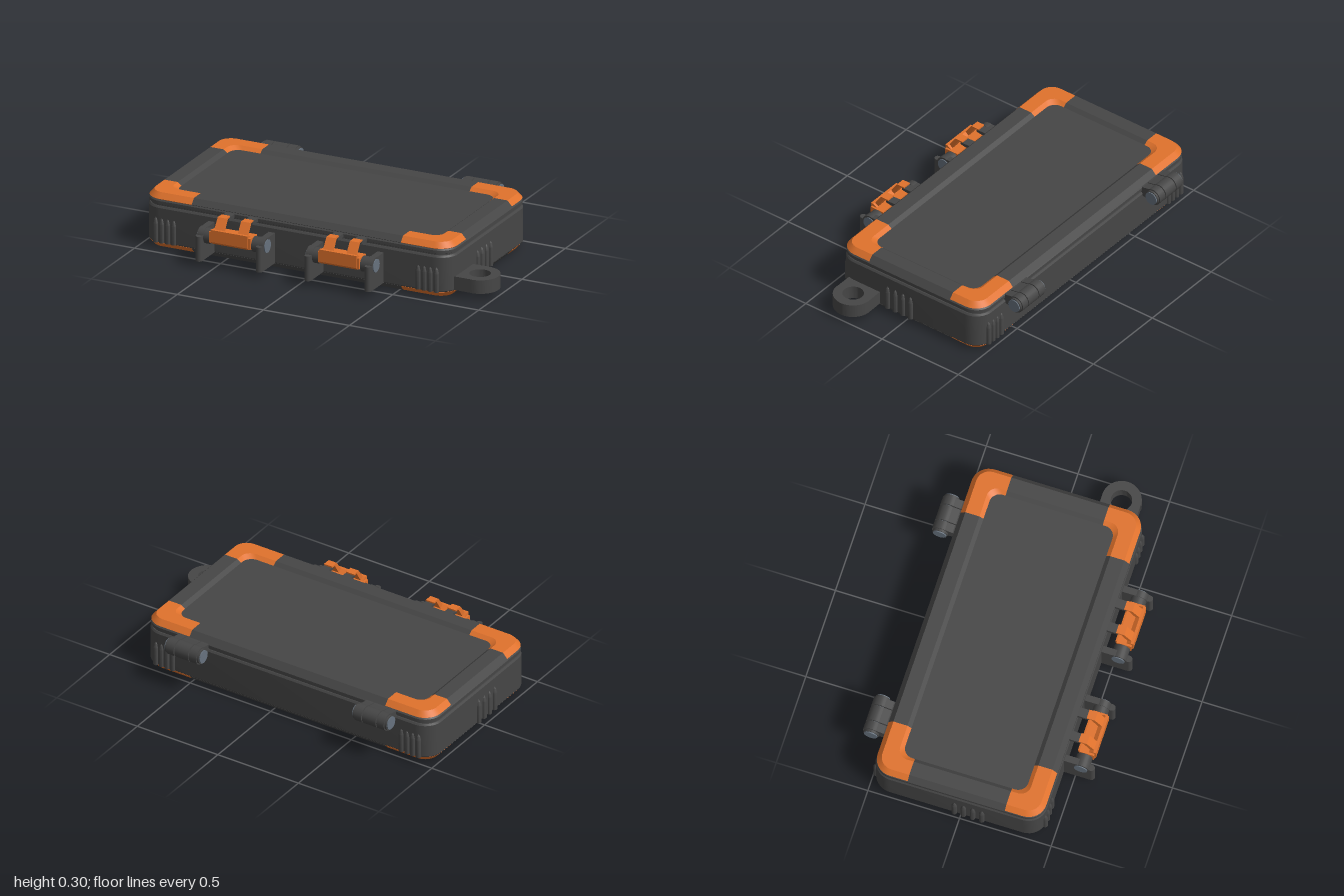
import * as THREE from 'three';
import { toCreasedNormals } from 'three/addons/utils/BufferGeometryUtils.js';

const CX = -0.0925, CZ = -0.0235, HX = 0.893, HZ = 0.464; // case centre and half sizes
const CUTX = 0.6075, CUTZ = 0.265;                        // where corner guards end

const mat = (name, color) => {
  const m = new THREE.MeshStandardMaterial({ color });
  m.name = name;
  return m;
};

// Points of one rounded corner (quadrant 0..3) at a given inset
function corner(q, inset) {
  const sx = q === 0 || q === 3 ? 1 : -1, sz = q < 2 ? 1 : -1;
  const r = Math.max(0.1 - inset, 0.055), x = HX - inset - r, z = HZ - inset - r;
  const pts = [];
  for (let i = 0; i <= 8; i++) {
    const t = (q + i / 8) * Math.PI / 2;
    pts.push([sx * x + r * Math.cos(t), sz * z + r * Math.sin(t)]);
  }
  return pts;
}

const fullPath = inset => {
  if (inset === null) return Array.from({ length: 37 }, () => [0, 0]);
  const p = [0, 1, 2, 3].flatMap(q => corner(q, inset));
  return [...p, p[0]];
};

function guardPath(q, inset) {
  const sx = q === 0 || q === 3 ? 1 : -1, sz = q < 2 ? 1 : -1;
  const onX = [sx * (HX - inset), sz * CUTZ], onZ = [sx * CUTX, sz * (HZ - inset)];
  return q % 2 === 0 ? [onX, ...corner(q, inset), onZ] : [onZ, ...corner(q, inset), onX];
}

// Straight rail following quadrant q
function railPath(q, inset) {
  const x = HX - inset, z = HZ - inset;
  return [
    [[CUTX, z], [-CUTX, z]], [[-x, CUTZ], [-x, -CUTZ]],
    [[-CUTX, -z], [CUTX, -z]], [[x, -CUTZ], [x, CUTZ]],
  ][q];
}

// Skin between profile stations [inset, y] carried along a path
function sweep(profile, path) {
  const rings = profile.map(([d, y]) => path(d).map(([x, z]) => new THREE.Vector3(x + CX, y, z + CZ)));
  const pos = [], e1 = new THREE.Vector3(), e2 = new THREE.Vector3();
  const tri = (a, b, c) => {
    if (e1.subVectors(b, a).cross(e2.subVectors(c, a)).length() < 1e-9) return;
    for (const v of [a, b, c]) pos.push(v.x, v.y, v.z);
  };
  for (let i = 0; i < rings.length - 1; i++) {
    for (let j = 0; j < rings[i].length - 1; j++) {
      const a = rings[i][j], b = rings[i + 1][j], c = rings[i + 1][j + 1], d = rings[i][j + 1];
      tri(a, b, c);
      tri(a, c, d);
    }
  }
  const g = new THREE.BufferGeometry();
  g.setAttribute('position', new THREE.Float32BufferAttribute(pos, 3));
  return toCreasedNormals(g, 0.4);
}

// Side profile in [z, y], extruded across x and centred on x
function extrudeX(points, width, x) {
  const shape = new THREE.Shape(points.map(p => new THREE.Vector2(...p)));
  return new THREE.ExtrudeGeometry(shape, { depth: width, bevelEnabled: false })
    .rotateY(-Math.PI / 2).translate(x + width / 2, 0, 0);
}

const barrel = (r, width, x, y, z) =>
  new THREE.CylinderGeometry(r, r, width, 24).rotateZ(Math.PI / 2).translate(x, y, z);

const box = (x0, x1, y0, y1, z0, z1) =>
  new THREE.BoxGeometry(x1 - x0, y1 - y0, z1 - z0).translate((x0 + x1) / 2, (y0 + y1) / 2, (z0 + z1) / 2);

export function createModel() {
  const root = new THREE.Group();
  root.name = 'hardCase';
  const dark = mat('charcoal', 0x464646), orange = mat('orange', 0xe0722c), steel = mat('steel', 0x67727e);
  const group = name => {
    const g = new THREE.Group();
    g.name = name;
    root.add(g);
    return g;
  };
  const add = (parent, name, geometry, material) => {
    const m = new THREE.Mesh(geometry, material);
    m.name = name;
    parent.add(m);
  };

  // Shell: floor panel, walls, seam groove, lid and recessed lid panel
  add(root, 'body', sweep([[null, 0.012], [0.12, 0.012], [0.12, 0.03], [0.004, 0.03], [0, 0.036],
    [0, 0.222], [0.007, 0.232], [0.012, 0.232], [0.012, 0.24], [null, 0.24]], fullPath), dark);
  add(root, 'lid', sweep([[null, 0.238], [0.012, 0.238], [0.003, 0.243], [0.003, 0.26], [0.012, 0.27],
    [0.12, 0.27], [0.12, 0.283], [null, 0.283]], fullPath), dark);

  // Rim on both faces: orange corner guards joined by dark rails
  const top = [[0.012, 0.265], [0.004, 0.271], [0.03, 0.3], [0.107, 0.3], [0.13, 0.282]];
  const rims = [['top', top], ['bottom', top.map(([d, y]) => [d, 0.3 - y]).reverse()]];
  for (const [side, profile] of rims) {
    const guards = group(side + 'CornerGuards'), rails = group(side + 'Rails');
    for (let q = 0; q < 4; q++) {
      add(guards, 'cornerGuard', sweep(profile, d => guardPath(q, d)), orange);
      add(rails, 'rail', sweep(profile, d => railPath(q, d)), dark);
    }
  }

  // Pointed grip ribs on all four walls
  const ribs = group('gripRibs');
  const ribProfile = [[0, 0.032], [0.015, 0.032], [0.015, 0.135], [0.009, 0.158], [0, 0.17]];
  const rib = (x, z) => add(ribs, 'gripRib', toCreasedNormals(
    new THREE.LatheGeometry(ribProfile.map(p => new THREE.Vector2(...p)), 14), 0.5).translate(x, 0, z), dark);
  for (const s of [-1, 1]) {
    for (let i = 0; i < 4; i++) {
      for (const t of [-1, 1]) rib(CX + s * (0.71 + i * 0.035), CZ + t * (HZ - 0.003));
      rib(CX + s * (HX - 0.001), 0.117 - i * 0.05);
    }
  }

  // Lanyard tab with a hole
  const tab = new THREE.Shape();
  tab.moveTo(0.78, -0.103);
  tab.lineTo(0.895, -0.103);
  tab.absarc(0.895, 0, 0.105, -Math.PI / 2, Math.PI / 2, false);
  tab.lineTo(0.78, 0.103);
  tab.holes.push(new THREE.Path().absarc(0.893, 0, 0.056, 0, Math.PI * 2, true));
  add(root, 'lanyardTab', toCreasedNormals(new THREE.ExtrudeGeometry(tab,
    { depth: 0.075, bevelEnabled: false, curveSegments: 24 }), 0.5)
    .rotateX(-Math.PI / 2).translate(0, 0.034, 0.272), dark);

  // Front latches
  for (const x of [-0.407, 0.225]) {
    const latch = group('latch');
    for (const s of [-1, 1]) {
      const bx = x + s * 0.175;
      add(latch, 'bracket', box(bx - 0.018, bx + 0.018, 0.032, 0.17, 0.43, 0.585), dark);
      add(latch, 'bracketNose', new THREE.CylinderGeometry(0.018, 0.018, 0.138, 16)
        .translate(bx, 0.101, 0.585), dark);
      add(latch, 'bracketShoulder', box(bx - 0.018, bx + 0.018, 0.16, 0.2, 0.43, 0.532), dark);
      add(latch, 'bracketEye', barrel(0.045, 0.036, bx, 0.158, 0.532), dark);
      add(latch, 'knuckle', barrel(0.042, 0.036, x + s * 0.139, 0.158, 0.532), dark);
      const px = x + s * 0.068;
      add(latch, 'prong', extrudeX([[0.488, 0.27], [0.533, 0.27], [0.577, 0.208], [0.557, 0.19],
        [0.515, 0.26], [0.488, 0.262]], 0.05, px), orange);
      add(latch, 'catch', extrudeX([[0.42, 0.243], [0.46, 0.243], [0.5, 0.25], [0.5, 0.262],
        [0.42, 0.264]], 0.05, px), dark);
    }
    add(latch, 'pin', barrel(0.036, 0.396, x, 0.158, 0.532), steel);
    add(latch, 'lever', extrudeX([[0.545, 0.135], [0.575, 0.135], [0.588, 0.148], [0.588, 0.215],
      [0.572, 0.215], [0.55, 0.2], [0.49, 0.19], [0.49, 0.165]], 0.216, x), orange);
    add(latch, 'leverBase', box(x - 0.12, x + 0.12, 0.14, 0.2, 0.5, 0.58), orange);
  }

  // Rear hinges
  for (const x of [-0.675, 0.49]) {
    const hinge = group('hinge');
    const arm = [[-0.46, 0.265], [-0.49, 0.265], [-0.545, 0.275], [-0.555, 0.2], [-0.53, 0.2],
      [-0.485, 0.212], [-0.46, 0.212]];
    add(hinge, 'middleKnuckle', barrel(0.047, 0.084, x, 0.232, -0.555), dark);
    add(hinge, 'middleArm', extrudeX(arm, 0.084, x), dark);
    for (const s of [-1, 1]) {
      add(hinge, 'outerKnuckle', barrel(0.047, 0.046, x + s * 0.07, 0.232, -0.555), dark);
      add(hinge, 'outerArm', extrudeX(arm, 0.046, x + s * 0.07), dark);
      add(hinge, 'pinCollar', barrel(0.041, 0.012, x + s * 0.099, 0.232, -0.555), dark);
    }
    add(hinge, 'pin', barrel(0.036, 0.222, x, 0.232, -0.555), steel);
  }
  return root;
}
